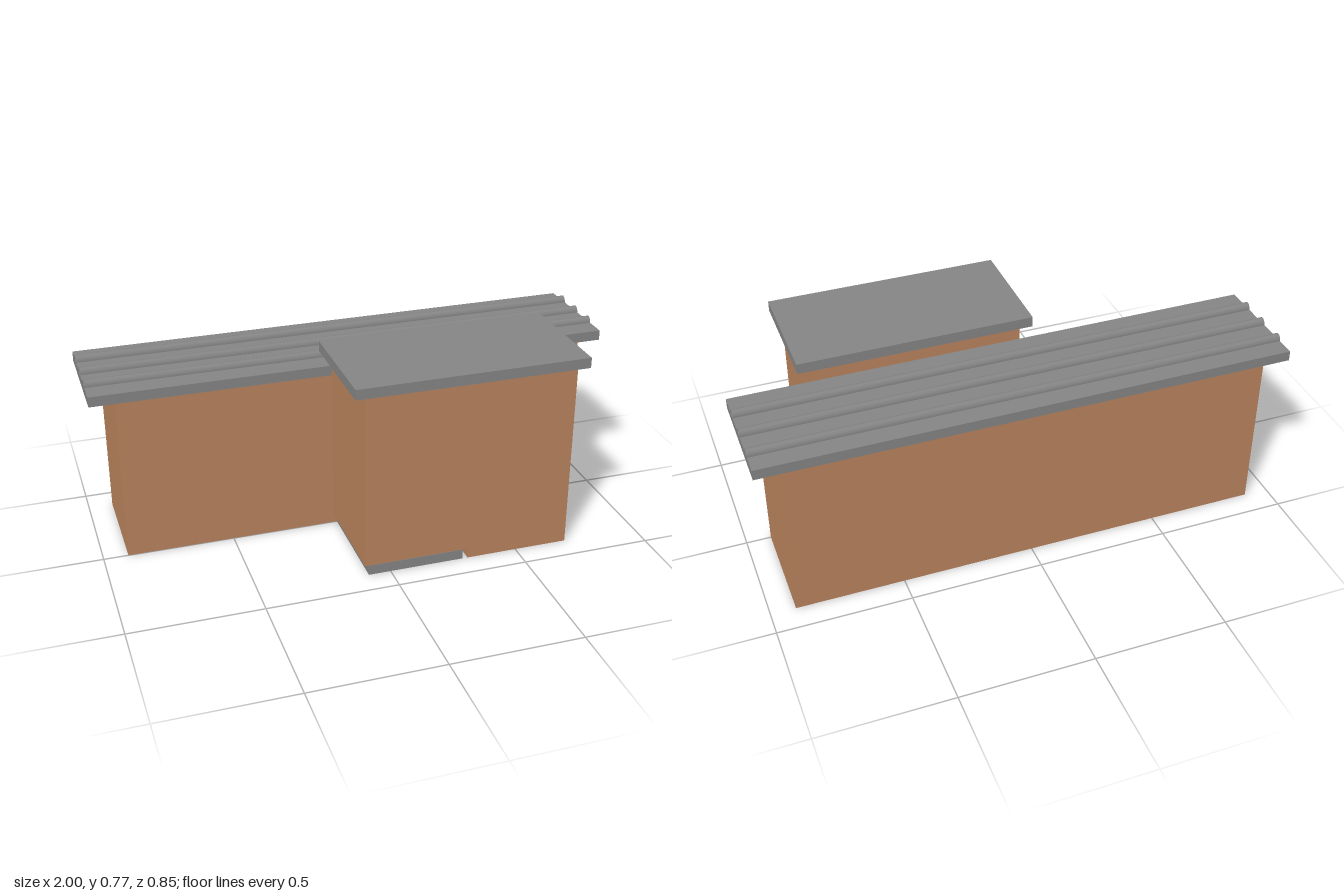
import * as THREE from 'three';

const brick = new THREE.MeshStandardMaterial({ color: 0xb8825c });
brick.name = 'brick brown';
const slate = new THREE.MeshStandardMaterial({ color: 0x848484, side: THREE.DoubleSide });
slate.name = 'slate grey';

// Box given by its lower and upper limits on each axis
function box(name, x0, x1, y0, y1, z0, z1) {
  const mesh = new THREE.Mesh(new THREE.BoxGeometry(x1 - x0, y1 - y0, z1 - z0), slate);
  mesh.position.set((x0 + x1) / 2, (y0 + y1) / 2, (z0 + z1) / 2);
  mesh.name = name;
  return mesh;
}

// Front outline pulled along z: brick walls, grey on every downward face
function walls(name, outline, z0, z1) {
  const shape = new THREE.Shape(outline.map(([x, y]) => new THREE.Vector2(x, y)));
  const geo = new THREE.ExtrudeGeometry(shape, { depth: z1 - z0, bevelEnabled: false });
  geo.translate(0, 0, z0);
  geo.clearGroups();
  const normal = geo.attributes.normal;
  for (let i = 0; i < normal.count; i += 3) {
    geo.addGroup(i, 3, normal.getY(i) < -0.5 ? 1 : 0);
  }
  const mesh = new THREE.Mesh(geo, [brick, slate]);
  mesh.name = name;
  return mesh;
}

// Open rounded ridge running the length of the roof
function roofRib(z, y) {
  const geo = new THREE.CylinderGeometry(0.018, 0.018, 2, 8, 1, true, 0, Math.PI);
  geo.rotateZ(Math.PI / 2);
  geo.scale(1, 0.023 / 0.018, 1);
  const mesh = new THREE.Mesh(geo, slate);
  mesh.position.set(0, y, z);
  mesh.name = 'roofRib';
  return mesh;
}

export function createModel() {
  const model = new THREE.Group();
  model.name = 'building';

  // Long rear wing with ribbed roof
  const rear = new THREE.Group();
  rear.name = 'rearWing';
  rear.add(walls('rearWalls', [[-0.907, 0], [0.907, 0], [0.907, 0.634], [-0.907, 0.634]], -0.404, 0));
  rear.add(box('rearRoof', -1, 1, 0.634, 0.673, -0.425, 0));
  for (const z of [-0.333, -0.217, -0.102]) rear.add(roofRib(z, 0.673));

  // Taller front block, cut away at its lower corner for the step
  const front = new THREE.Group();
  front.name = 'frontBlock';
  front.add(walls('frontWalls',
    [[0.305, 0], [0.705, 0], [0.705, 0.73], [-0.1, 0.73], [-0.1, 0.04], [0.305, 0.04]], 0, 0.404));
  front.add(box('frontRoof', -0.143, 0.745, 0.73, 0.77, -0.02, 0.425));
  front.add(box('step', -0.085, 0.285, 0, 0.039, 0, 0.404));

  model.add(rear, front);
  return model;
}
